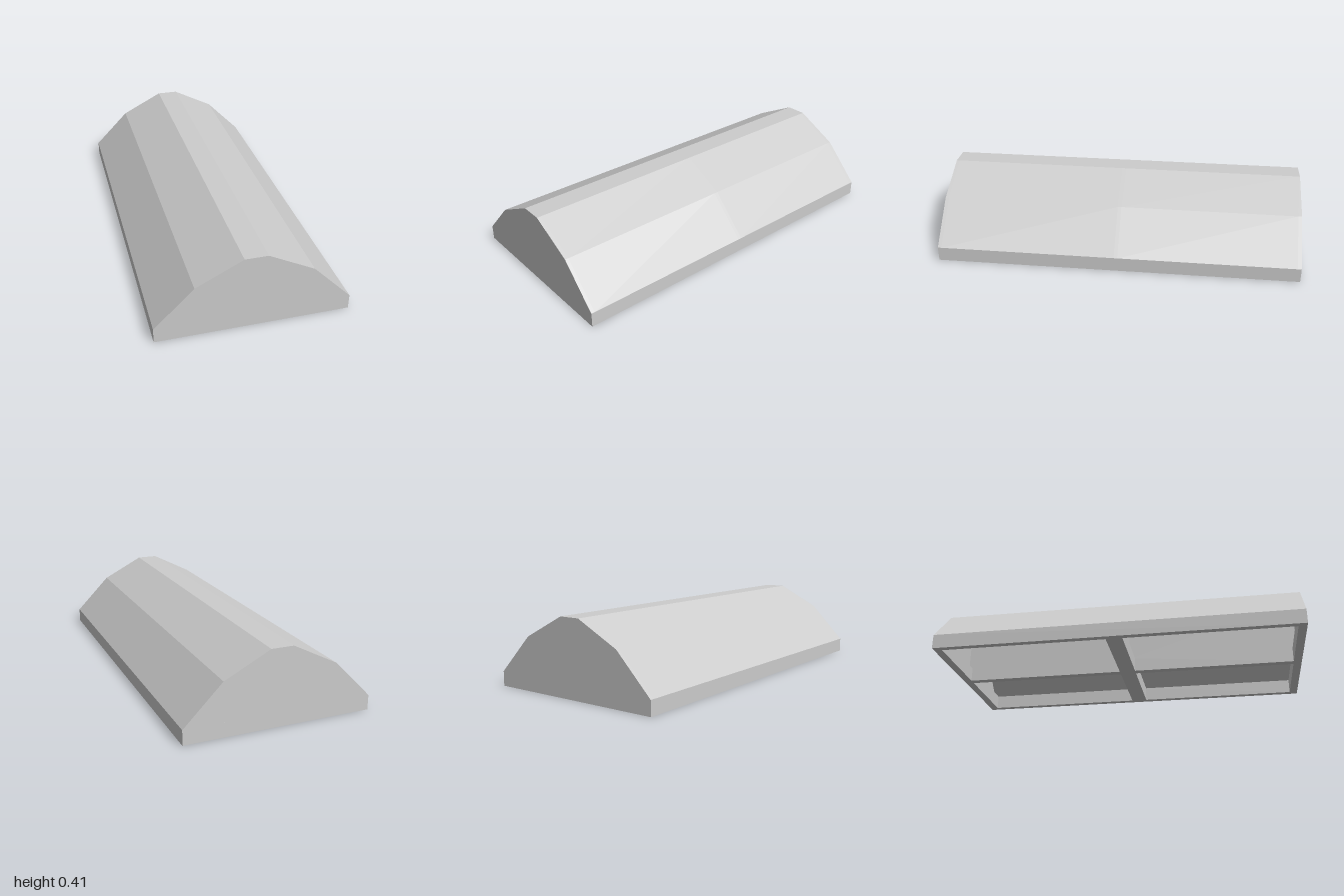
import * as THREE from 'three';

const HALF_WIDTH = 0.508;
const FRAME_HEIGHT = 0.08;
const WALL = 0.02; // thickness of the roof's end walls and ribs

// Right half of the arch above the base frame, up to the flat crown
const ARCH = [[HALF_WIDTH, FRAME_HEIGHT], [0.303, 0.288], [0.06, 0.412]];
// One hollow bay in section, from the outer wall to the centre rib
const BAY = [[0.48, FRAME_HEIGHT], [0.285, 0.275], [0.055, 0.392], [WALL / 2, 0.392], [WALL / 2, FRAME_HEIGHT]];

const toShape = (points) => new THREE.Shape(points.map(([x, y]) => new THREE.Vector2(x, y)));
const mirror = (points) => points.map(([x, y]) => [-x, y]);

// Rectangle outline given by its edges
const rectangle = (x0, x1, y0, y1) => [[x0, y0], [x1, y0], [x1, y1], [x0, y1]];

// Extrudes a cross-section along z between two positions
function section(points, z0, z1, material, name) {
  const geometry = new THREE.ExtrudeGeometry(toShape(points), { depth: z1 - z0, bevelEnabled: false });
  geometry.translate(0, 0, z0);
  const mesh = new THREE.Mesh(geometry, material);
  mesh.name = name;
  return mesh;
}

// Base frame with four rectangular openings
function baseFrame(material) {
  const shape = toShape(rectangle(-HALF_WIDTH, HALF_WIDTH, -1, 1));
  for (const [x0, x1] of [[-0.475, -0.02], [0.02, 0.475]]) {
    for (const [z0, z1] of [[-0.955, -0.045], [0.045, 0.955]]) {
      shape.holes.push(toShape(rectangle(x0, x1, z0, z1)));
    }
  }
  const geometry = new THREE.ExtrudeGeometry(shape, { depth: FRAME_HEIGHT, bevelEnabled: false });
  geometry.rotateX(-Math.PI / 2);
  const mesh = new THREE.Mesh(geometry, material);
  mesh.name = 'baseFrame';
  return mesh;
}

export function createModel() {
  const group = new THREE.Group();
  group.name = 'archedBlock';
  const grey = new THREE.MeshStandardMaterial({ color: 0xcccccc });
  grey.name = 'lightGrey';

  const solid = [...ARCH, ...mirror(ARCH).reverse()];
  const hollow = [...solid, ...mirror(BAY), ...[...BAY].reverse()];

  group.add(baseFrame(grey));

  // Solid end walls and the cross rib in the middle
  group.add(section(solid, 1 - WALL, 1, grey, 'frontEndWall'));
  group.add(section(solid, -WALL / 2, WALL / 2, grey, 'crossRib'));
  group.add(section(solid, -1, WALL - 1, grey, 'backEndWall'));

  // Thin roof spans joined by a centre rib
  group.add(section(hollow, WALL / 2, 1 - WALL, grey, 'frontRoofSpan'));
  group.add(section(hollow, WALL - 1, -WALL / 2, grey, 'backRoofSpan'));
  return group;
}
